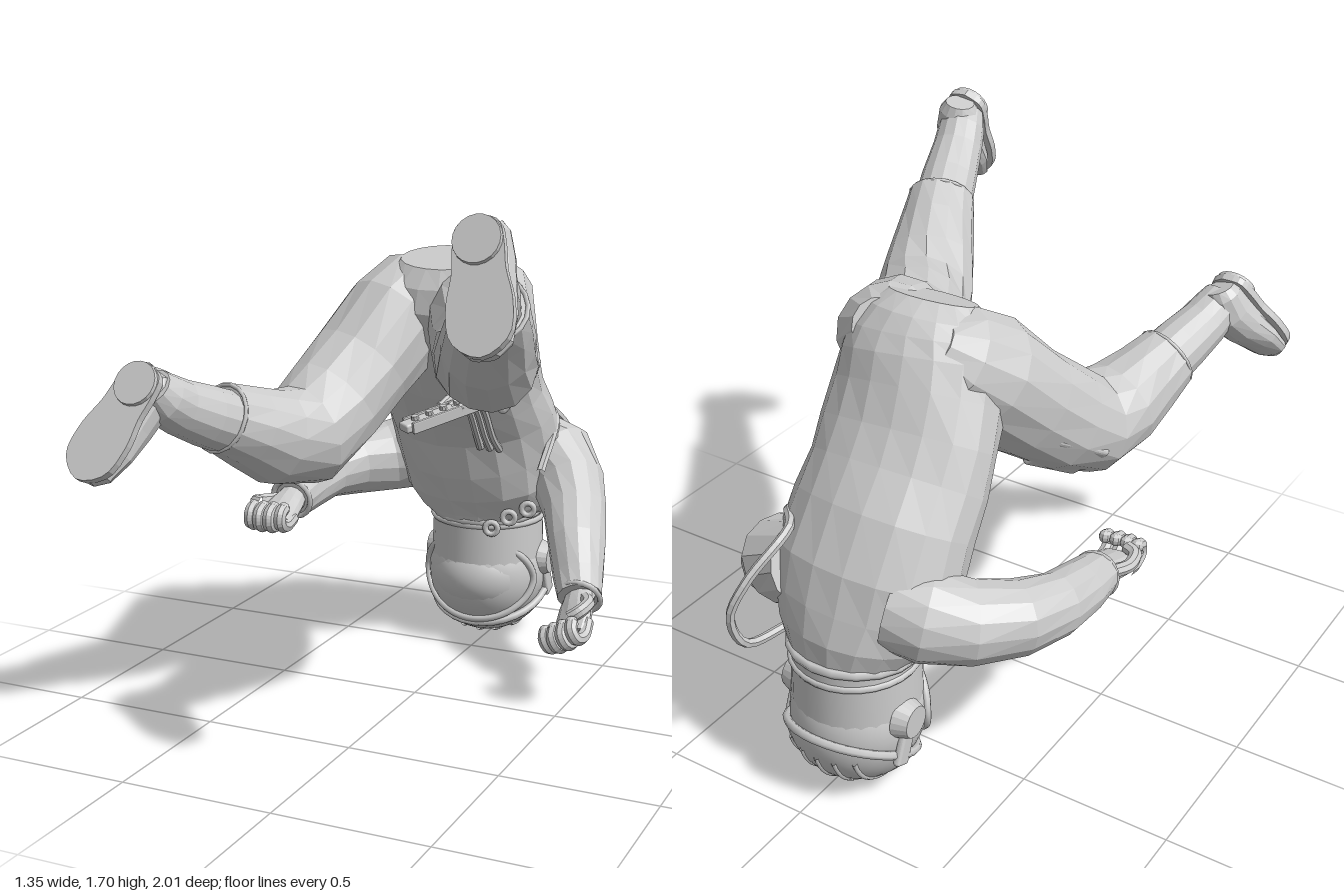
import * as THREE from 'three';
import { RoundedBoxGeometry } from 'three/addons/geometries/RoundedBoxGeometry.js';

const V = (x, y, z) => new THREE.Vector3(x, y, z);
const faceted = new THREE.MeshStandardMaterial({ color: 0xcccccc, flatShading: true });
const smooth = new THREE.MeshStandardMaterial({ color: 0xcccccc, side: THREE.DoubleSide });

function add(parent, name, geometry, material = smooth) {
  const mesh = new THREE.Mesh(geometry, material);
  mesh.name = name;
  parent.add(mesh);
  return mesh;
}

// Skin through stations [x, y, z, half width, half depth]; closed at both ends.
// fold adds slight cloth creases.
function loft(stations, sides = 14, fold = 0) {
  const pts = stations.map(s => V(s[0], s[1], s[2]));
  const pos = [], index = [], n = stations.length;
  pts.forEach((p, i) => {
    const t = pts[Math.min(i + 1, n - 1)].clone().sub(pts[Math.max(i - 1, 0)]).normalize();
    const u = V(1, 0, 0).addScaledVector(t, -t.x).normalize();
    const v = t.clone().cross(u);
    const [, , , ru, rv = ru] = stations[i];
    for (let j = 0; j < sides; j++) {
      const a = j / sides * Math.PI * 2;
      const k = 1 + fold * Math.sin(3 * a + i * 2.1);
      const q = p.clone().addScaledVector(u, Math.cos(a) * ru * k).addScaledVector(v, Math.sin(a) * rv * k);
      pos.push(q.x, q.y, q.z);
    }
  });
  for (let i = 0; i < n - 1; i++) for (let j = 0; j < sides; j++) {
    const a = i * sides + j, b = i * sides + (j + 1) % sides;
    index.push(a, b, a + sides, b, b + sides, a + sides);
  }
  const first = pos.length / 3, last = (n - 1) * sides;
  pos.push(...pts[0].toArray(), ...pts[n - 1].toArray());
  for (let j = 0; j < sides; j++) {
    const k = (j + 1) % sides;
    index.push(first, k, j, first + 1, last + j, last + k);
  }
  const g = new THREE.BufferGeometry();
  g.setAttribute('position', new THREE.Float32BufferAttribute(pos, 3));
  g.setIndex(index);
  g.computeVertexNormals();
  return g;
}

const tube = (points, r, sides = 8, closed = false) =>
  new THREE.TubeGeometry(new THREE.CatmullRomCurve3(points.map(p => V(...p)), closed), points.length * 5, r, sides, closed);

// Moves an object so its z runs along forward and its y leans to up.
function place(obj, origin, forward, up) {
  const z = V(...forward).normalize();
  const x = V(...up).cross(z).normalize();
  obj.quaternion.setFromRotationMatrix(new THREE.Matrix4().makeBasis(x, z.clone().cross(x), z));
  obj.position.set(...origin);
  return obj;
}

function band(parent, name, at, axis, r, thick) {
  place(add(parent, name, new THREE.TorusGeometry(r, thick, 6, 18)), at, axis, [0.1, 1, 0.3]);
}

// Boot foot: heel at the origin, toe along z, ankle above
function makeFoot(name) {
  const foot = new THREE.Group();
  foot.name = name;
  add(foot, 'bootUpper', loft([
    [0, 0.06, 0.005, 0.05, 0.05], [0, 0.07, 0.03, 0.068, 0.065], [0, 0.085, 0.1, 0.075, 0.08],
    [0, 0.075, 0.18, 0.08, 0.072], [0, 0.058, 0.27, 0.088, 0.053], [0, 0.045, 0.35, 0.077, 0.038],
    [0, 0.04, 0.385, 0.04, 0.022]], 14), faceted);
  const outline = new THREE.Shape(new THREE.SplineCurve([
    [0, 0], [0.058, 0.025], [0.072, 0.09], [0.075, 0.16], [0.092, 0.25], [0.08, 0.345], [0, 0.395],
    [-0.08, 0.345], [-0.092, 0.25], [-0.075, 0.16], [-0.072, 0.09], [-0.058, 0.025], [0, 0]
  ].map(p => new THREE.Vector2(...p))).getPoints(40));
  const sole = new THREE.ExtrudeGeometry(outline, { depth: 0.025, bevelEnabled: false });
  add(foot, 'sole', sole.rotateX(Math.PI / 2).translate(0, 0.027, 0), faceted);
  add(foot, 'heelBlock', new THREE.CylinderGeometry(0.07, 0.068, 0.014, 20).translate(0, -0.003, 0.073), faceted);
  return foot;
}

// Half-closed glove: wrist at the origin, fingers along z curling to y
function makeHand(name, thumbSide) {
  const hand = new THREE.Group();
  hand.name = name;
  add(hand, 'palm', loft([[0, 0, -0.06, 0.06, 0.055], [0, 0, 0, 0.052, 0.045], [0, 0, 0.05, 0.064, 0.042],
    [0, -0.005, 0.12, 0.072, 0.036], [0, -0.005, 0.17, 0.066, 0.028]], 12), faceted);
  for (let i = 0; i < 4; i++) {
    const x = (i - 1.5) * 0.037, r = Math.abs(i - 1.5) > 1 ? 0.01 : 0;
    add(hand, 'finger', tube([[x, -0.012, 0.12], [x, -0.012, 0.195 - r], [x, 0.015, 0.23 - r],
      [x, 0.045, 0.22 - r], [x, 0.052, 0.18]], 0.022), faceted);
    add(hand, 'fingertip', new THREE.SphereGeometry(0.022, 8, 6).translate(x, 0.052, 0.18), faceted);
  }
  const s = thumbSide;
  add(hand, 'thumb', tube([[s * 0.04, 0.01, 0.03], [s * 0.075, 0.025, 0.08], [s * 0.07, 0.045, 0.13],
    [s * 0.035, 0.05, 0.15]], 0.022), faceted);
  return hand;
}

function makeHelmet() {
  const helmet = new THREE.Group();
  helmet.name = 'helmet';
  helmet.position.set(-0.022, 0.23, -0.71);
  add(helmet, 'shell', new THREE.SphereGeometry(0.216, 32, 20));
  add(helmet, 'neck', new THREE.CylinderGeometry(0.2, 0.206, 0.2, 28).translate(0, 0.15, 0));
  add(helmet, 'neckRing', new THREE.TorusGeometry(0.2, 0.012, 6, 28).rotateX(Math.PI / 2).translate(0, 0.21, 0));

  // visor and the frame that follows its curved edge
  add(helmet, 'visor', new THREE.SphereGeometry(0.2, 28, 14, 0, Math.PI * 2, 0, 1.4)
    .rotateX(Math.PI / 2).scale(1.04, 0.84, 1.12));
  const rim = [];
  for (let i = 0; i < 16; i++) {
    const a = i / 16 * Math.PI * 2, x = 0.208 * Math.cos(a), y = 0.155 * Math.sin(a);
    rim.push([x, y, Math.sqrt(0.22 ** 2 - x * x - y * y)]);
  }
  add(helmet, 'visorFrame', tube(rim, 0.013, 8, true));

  // raised sunshade over the crown, with ridges
  const shade = new THREE.Group();
  shade.name = 'sunshade';
  shade.rotation.x = Math.PI + 0.46;
  helmet.add(shade);
  const edge = 1.17;
  add(shade, 'shadeShell', new THREE.SphereGeometry(0.233, 32, 12, 0, Math.PI * 2, 0, edge));
  add(shade, 'shadeEdge', new THREE.TorusGeometry(0.227 * Math.sin(edge), 0.014, 6, 32)
    .rotateX(Math.PI / 2).translate(0, 0.227 * Math.cos(edge), 0));
  for (let i = -2; i <= 2; i++) {
    const x = i * 0.06, r = Math.sqrt(0.231 ** 2 - x * x);
    add(shade, 'ridge', new THREE.TorusGeometry(r, 0.009, 6, 20, 1.7)
      .rotateZ(Math.PI / 2 - 0.85).rotateY(Math.PI / 2).translate(x, 0, 0));
  }
  for (const s of [-1, 1]) {
    add(helmet, 'earDisc', new THREE.CylinderGeometry(0.052, 0.07, 0.05, 20)
      .rotateZ(-s * Math.PI / 2).translate(s * 0.213, 0.05, -0.03), faceted);
    add(helmet, 'shadeArm', new RoundedBoxGeometry(0.025, 0.16, 0.06, 2, 0.01)
      .rotateX(0.4).translate(s * 0.21, -0.02, -0.05), faceted);
  }
  return helmet;
}

export function createModel() {
  const model = new THREE.Group();
  model.name = 'tumblingAstronaut';

  // torso, from collar to seat
  add(model, 'torso', loft([
    [-0.02, 0.46, -0.71, 0.2, 0.2], [-0.02, 0.53, -0.7, 0.255, 0.215], [-0.025, 0.61, -0.67, 0.295, 0.225],
    [-0.03, 0.72, -0.635, 0.31, 0.23], [-0.035, 0.86, -0.565, 0.305, 0.21], [-0.035, 0.96, -0.49, 0.297, 0.2],
    [-0.03, 1.06, -0.42, 0.292, 0.2], [-0.02, 1.17, -0.35, 0.285, 0.203], [-0.01, 1.26, -0.3, 0.275, 0.205],
    [0, 1.33, -0.27, 0.25, 0.19], [0, 1.39, -0.25, 0.21, 0.155], [0, 1.435, -0.235, 0.15, 0.095]], 18, 0.015), faceted);
  band(model, 'collar', [-0.02, 0.475, -0.71], [0, 1, 0.1], 0.2, 0.016);

  // trousers, boots and knee-side pockets
  const legs = [
    { side: 'left', leg: [[0.09, 1.37, -0.38, 0.09], [0.115, 1.32, -0.32, 0.155], [0.15, 1.255, -0.2, 0.178],
      [0.215, 1.19, -0.06, 0.172], [0.27, 1.18, 0.07, 0.168], [0.33, 1.19, 0.2, 0.16], [0.375, 1.26, 0.31, 0.145],
      [0.42, 1.34, 0.41, 0.127], [0.455, 1.4, 0.49, 0.112]],
    shaft: [[0.43, 1.37, 0.45, 0.1], [0.475, 1.44, 0.57, 0.095], [0.505, 1.515, 0.67, 0.085],
      [0.52, 1.57, 0.72, 0.08], [0.53, 1.61, 0.765, 0.062]],
    heel: [0.525, 1.69, 0.77], toe: [0.08, -0.34, 0.17], up: [0, -0.45, -0.89],
    pocket: [0.372, 1.1, 0.06], out: [0.8, -0.6, 0], along: [0.3, 0, 1] },
    { side: 'right', leg: [[-0.09, 1.36, -0.38, 0.09], [-0.12, 1.31, -0.33, 0.16], [-0.165, 1.22, -0.22, 0.188],
      [-0.23, 1.08, -0.08, 0.178], [-0.275, 0.975, 0.05, 0.172], [-0.31, 0.895, 0.19, 0.168], [-0.35, 0.915, 0.32, 0.152],
      [-0.38, 0.965, 0.43, 0.13], [-0.41, 1.01, 0.53, 0.11]],
    shaft: [[-0.395, 0.985, 0.49, 0.1], [-0.425, 1.03, 0.6, 0.095], [-0.455, 1.075, 0.7, 0.085],
      [-0.47, 1.11, 0.76, 0.08], [-0.478, 1.15, 0.8, 0.062]],
    heel: [-0.475, 1.225, 0.81], toe: [-0.13, -0.3, 0.19], up: [0, -0.57, -0.82],
    pocket: [-0.345, 0.9, -0.02], out: [-0.65, -0.7, -0.3], along: [-0.3, -0.5, 0.85] }
  ];
  for (const l of legs) {
    add(model, l.side + 'Trouser', loft(l.leg, 14, 0.02), faceted);
    add(model, l.side + 'BootShaft', loft(l.shaft, 14), faceted);
    const [x, y, z] = l.leg[8], before = l.leg[7];
    band(model, l.side + 'TrouserCuff', [x, y, z], [x - before[0], y - before[1], z - before[2]], 0.106, 0.007);
    model.add(place(makeFoot(l.side + 'Boot'), l.heel, l.toe, l.up));
    place(add(model, l.side + 'Pocket', new RoundedBoxGeometry(0.17, 0.06, 0.24, 2, 0.015), faceted), l.pocket, l.along, l.out);
  }

  // sleeves and gloves
  const arms = [
    { side: 'left', arm: [[0.15, 0.71, -0.72, 0.13], [0.24, 0.675, -0.7, 0.142], [0.32, 0.6, -0.63, 0.127],
      [0.375, 0.53, -0.53, 0.11], [0.42, 0.45, -0.42, 0.1], [0.46, 0.365, -0.33, 0.086], [0.488, 0.315, -0.265, 0.075]],
    forward: [0.08, -0.48, 0.86], up: [-0.5, 0.8, 0.4], thumb: 1 },
    { side: 'right', arm: [[-0.18, 0.68, -0.73, 0.13], [-0.28, 0.66, -0.7, 0.142], [-0.39, 0.635, -0.63, 0.13],
      [-0.485, 0.625, -0.52, 0.117], [-0.535, 0.615, -0.39, 0.1], [-0.54, 0.595, -0.26, 0.088], [-0.535, 0.575, -0.14, 0.076]],
    forward: [0.07, -0.2, 1], up: [0, 1, 0.1], thumb: -1 }
  ];
  for (const a of arms) {
    add(model, a.side + 'Sleeve', loft(a.arm, 14, 0.02), faceted);
    const wrist = a.arm[6].slice(0, 3);
    band(model, a.side + 'WristRing', wrist, a.forward, 0.07, 0.01);
    model.add(place(makeHand(a.side + 'Glove', a.thumb), wrist, a.forward, a.up));
  }

  model.add(makeHelmet());

  // air hose looping behind the left shoulder
  add(model, 'airHose', tube([[0.27, 0.68, -0.46], [0.25, 0.83, -0.66], [0.15, 0.86, -0.79], [0.19, 0.75, -0.94],
    [0.23, 0.63, -0.985], [0.22, 0.51, -0.94], [0.2, 0.48, -0.78], [0.16, 0.49, -0.56]], 0.015, 6), faceted);

  // collar connectors
  for (const [x, y, z] of [[0.07, 0.44, -0.51], [0.14, 0.49, -0.5], [0.2, 0.52, -0.53]])
    place(add(model, 'connector', new THREE.TorusGeometry(0.022, 0.011, 6, 12)), [x, y, z], [0.3, 0, 1], [0, 1, 0]);

  // chest control strip floating on its hoses
  const strip = new THREE.Group();
  strip.name = 'controlStrip';
  add(strip, 'stripBody', new RoundedBoxGeometry(0.05, 0.03, 0.32, 2, 0.008), faceted);
  for (let i = 0; i < 5; i++)
    add(strip, 'button', new THREE.CylinderGeometry(0.012, 0.014, 0.02, 8).translate(0, 0.018, -0.11 + i * 0.055), faceted);
  for (const s of [-1, 1])
    add(strip, 'sideRail', new RoundedBoxGeometry(0.012, 0.04, 0.28, 1, 0.004).translate(s * 0.028, 0, 0), faceted);
  model.add(place(strip, [0.085, 0.955, -0.04], [-0.17, -0.06, 0.26], [0, 1, 0.2]));
  for (let i = 0; i < 3; i++) {
    const x = 0.07 + i * 0.035, d = i * 0.015;
    add(model, 'chestHose', tube([[x, 0.76, -0.4], [x, 0.82, -0.36 + d], [x, 0.93, -0.28 + d],
      [x, 0.99, -0.17], [x - 0.01, 0.97, -0.06]], 0.014), faceted);
  }
  return model;
}
